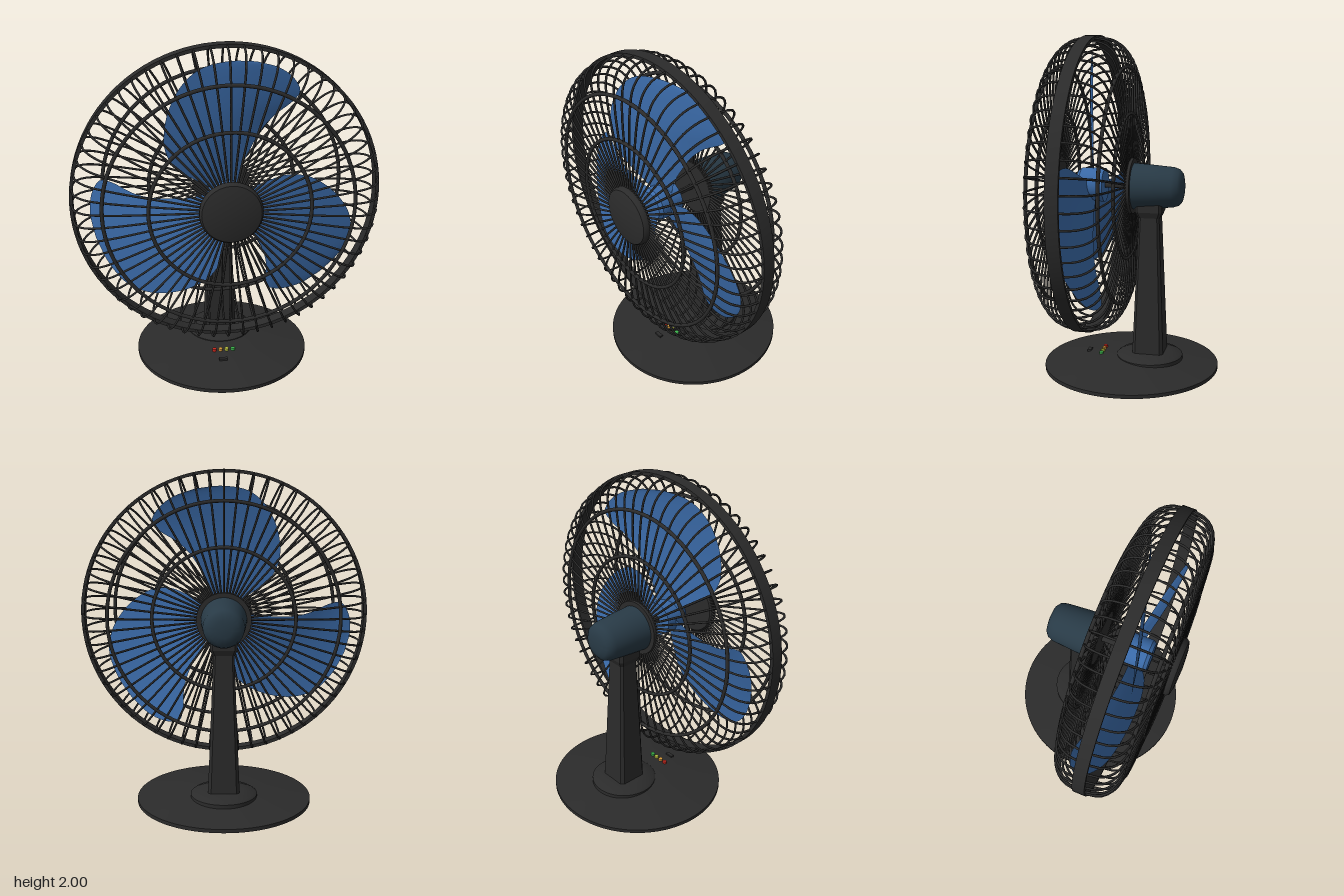
import * as THREE from 'three';
import { mergeGeometries, toCreasedNormals } from 'three/addons/utils/BufferGeometryUtils.js';
import { ParametricGeometry } from 'three/addons/geometries/ParametricGeometry.js';

const paint = (color, side = THREE.FrontSide) => new THREE.MeshStandardMaterial({ color, side });
const V2 = (p) => new THREE.Vector2(p[0], p[1]);
const V3 = (p) => new THREE.Vector3(p[0], p[1], 0);

// Turned solid from [radius, height] pairs; alongZ lays its axis front to back
function turned(points, segments = 64, alongZ = false) {
  const g = toCreasedNormals(new THREE.LatheGeometry(points.map(V2), segments), 0.6);
  return alongZ ? g.rotateX(Math.PI / 2) : g;
}

// Upright square column with chamfered corners, tapering between half-widths
function column(bottom, top, y0, y1) {
  const c = 0.8;
  const corners = [[1, -c], [1, c], [c, 1], [-c, 1], [-1, c], [-1, -c], [-c, -1], [c, -1]];
  const g = new THREE.ExtrudeGeometry(new THREE.Shape(corners.map(V2)), { depth: 1, bevelEnabled: false });
  g.rotateX(-Math.PI / 2);
  const p = g.attributes.position;
  for (let i = 0; i < p.count; i++) {
    const t = p.getY(i);
    const s = bottom + (top - bottom) * t;
    p.setXYZ(i, p.getX(i) * s, y0 + (y1 - y0) * t, p.getZ(i) * s);
  }
  g.computeVertexNormals();
  return g;
}

// Wires of one half of the cage, from a [radius, z] profile
function wires(profile, count) {
  const path = new THREE.CatmullRomCurve3(profile.map(([r, z]) => new THREE.Vector3(r, 0, z)));
  const wire = new THREE.TubeGeometry(path, 24, 0.0065, 6);
  const all = [];
  for (let i = 0; i < count; i++) all.push(wire.clone().rotateZ((i / count) * Math.PI * 2));
  return mergeGeometries(all);
}

// Pitched blade swept between its leading and trailing edges
function bladeGeometry() {
  const lead = new THREE.CatmullRomCurve3([
    [-0.06, 0.05], [-0.17, 0.12], [-0.29, 0.21], [-0.345, 0.32], [-0.345, 0.45],
    [-0.31, 0.57], [-0.25, 0.67], [-0.15, 0.75], [0.01, 0.78], [0.17, 0.765]].map(V3));
  const trail = new THREE.CatmullRomCurve3([
    [0.06, 0.05], [0.09, 0.17], [0.13, 0.25], [0.195, 0.36], [0.275, 0.445],
    [0.39, 0.52], [0.43, 0.57], [0.40, 0.64], [0.31, 0.715], [0.17, 0.765]].map(V3));
  return new ParametricGeometry((u, v, out) => {
    out.lerpVectors(trail.getPoint(v), lead.getPoint(v), u);
    out.z = 0.232 - 0.26 * out.x + 0.02 * Math.sin(Math.PI * u) * Math.sin(Math.PI * v);
  }, 16, 40);
}

export function createModel() {
  const model = new THREE.Group();
  model.name = 'deskFan';
  const dark = paint(0x2b2b2b);
  const slate = paint(0x283a46);
  const blue = paint(0x3a6aa8);
  const blueThin = paint(0x3a6aa8, THREE.DoubleSide);
  const add = (name, geometry, material, parent = model) => {
    const mesh = new THREE.Mesh(geometry, material);
    mesh.name = name;
    parent.add(mesh);
    return mesh;
  };

  // Base and stand
  add('base', turned([[0, 0], [0.53, 0], [0.53, 0.022], [0.4, 0.042], [0.27, 0.061], [0.18, 0.072], [0, 0.076]], 96), dark);
  const stand = new THREE.Group();
  stand.name = 'stand';
  stand.position.z = -0.115;
  model.add(stand);
  add('standCollar', turned([[0, 0.03], [0.2, 0.03], [0.2, 0.078], [0.185, 0.09], [0.12, 0.105], [0, 0.108]]), dark, stand);
  add('neck', column(0.095, 0.06, 0.09, 0.97), dark, stand);
  add('neckHead', column(0.065, 0.08, 0.94, 0.975), dark, stand);
  add('neckSaddle', column(0.08, 0.08, 0.975, 1.03), dark, stand);

  // Speed buttons and switch
  [0xc8281e, 0xd89a3a, 0xb8c040, 0x3cb44c].forEach((color, i) => {
    const button = add('speedButton', new THREE.CylinderGeometry(0.013, 0.013, 0.03, 16), paint(color));
    button.position.set(-0.065 + i * 0.038, 0.07, 0.18);
  });
  add('switch', new THREE.BoxGeometry(0.05, 0.02, 0.022), dark).position.set(-0.02, 0.062, 0.27);

  // Everything on the fan axis
  const head = new THREE.Group();
  head.name = 'fanHead';
  head.position.y = 1.12;
  model.add(head);
  add('motorHousing', turned([[0, -0.317], [0.05, -0.315], [0.085, -0.307], [0.107, -0.289], [0.119, -0.255],
    [0.13, -0.12], [0.137, -0.015], [0, -0.015]], 64, true), slate, head);
  add('shaft', turned([[0, -0.02], [0.016, -0.02], [0.016, 0.2], [0, 0.2]], 24, true), dark, head);
  add('bladeHub', turned([[0, 0.16], [0.1, 0.16], [0.1, 0.3], [0.085, 0.32], [0, 0.325]], 48, true), blue, head);

  const blade = bladeGeometry();
  for (let i = 0; i < 3; i++) {
    add('blade', blade, blueThin, head).rotation.z = (i * Math.PI * 2) / 3;
  }

  // Cage: rim, wires, stiffening rings and end caps
  add('cageRim', turned([[0.86, 0.192], [0.88, 0.192], [0.88, 0.265], [0.86, 0.265], [0.86, 0.192]], 96, true), dark, head);
  add('frontWires', wires([[0.15, 0.455], [0.45, 0.445], [0.66, 0.43], [0.79, 0.4], [0.85, 0.34], [0.87, 0.25]], 60), dark, head);
  add('backWires', wires([[0.12, 0.005], [0.45, 0.013], [0.66, 0.026], [0.79, 0.055], [0.85, 0.115], [0.87, 0.21]], 60), dark, head);
  for (const [name, r, z] of [['frontRing', 0.45, 0.445], ['frontRing', 0.7, 0.424],
    ['backRing', 0.43, 0.013], ['backRing', 0.7, 0.032]]) {
    add(name, new THREE.TorusGeometry(r, 0.011, 8, 96), dark, head).position.z = z;
  }
  add('frontCap', turned([[0, 0.44], [0.165, 0.44], [0.176, 0.455], [0.176, 0.475], [0.165, 0.492], [0.12, 0.503], [0, 0.51]], 64, true), dark, head);
  add('backPlate', turned([[0, -0.016], [0.165, -0.016], [0.165, 0.012], [0, 0.012]], 64, true), dark, head);

  return model;
}
